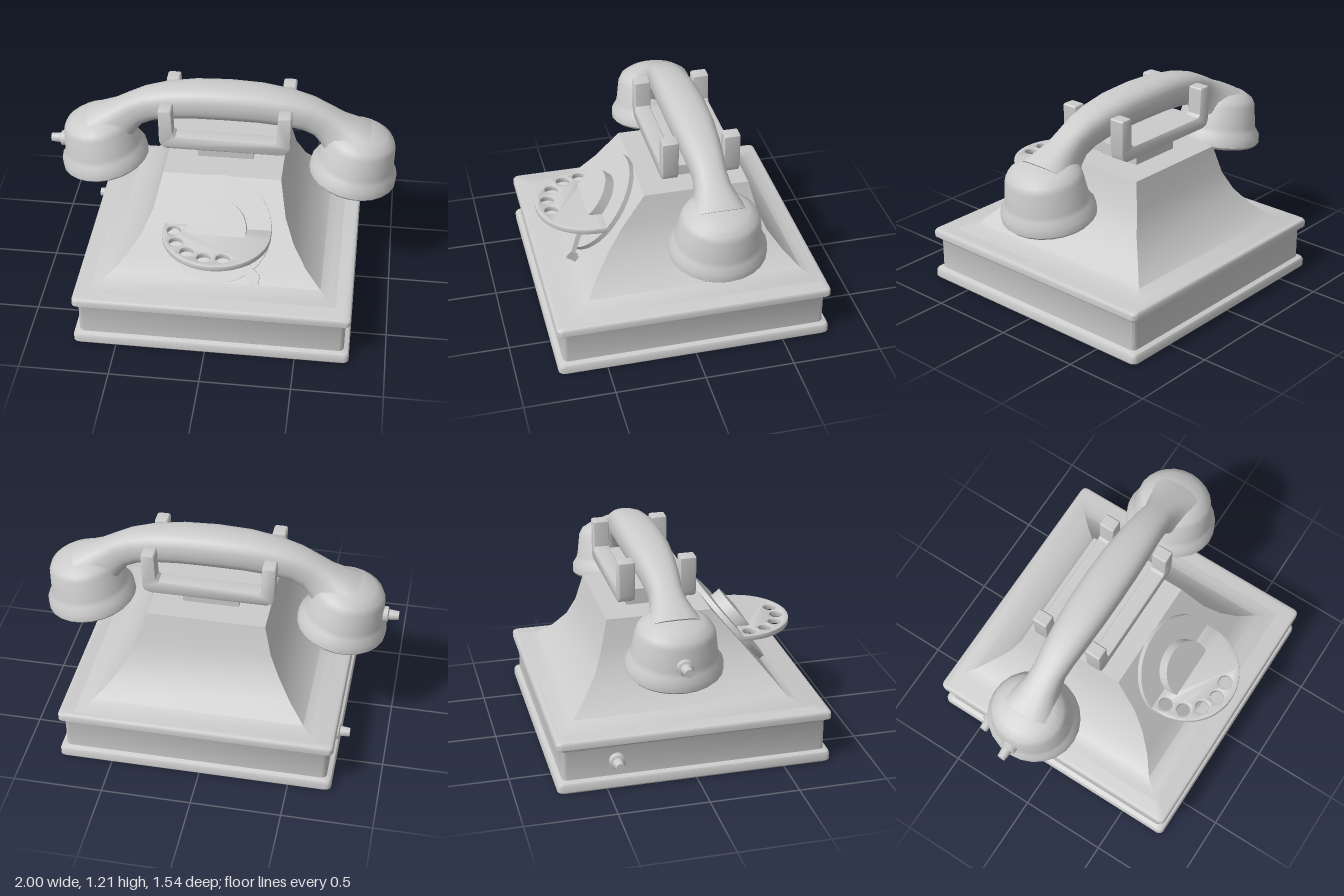
import * as THREE from 'three';
import { toCreasedNormals } from 'three/addons/utils/BufferGeometryUtils.js';

const grey = new THREE.MeshStandardMaterial({ color: 0xcccccc });
const CX = 0.03; // the body is slightly off centre because of the cord plugs
const HZ = -0.12; // handset and cradle centre line

function part(name, geometry, parent, crease = 0.65) {
  const mesh = new THREE.Mesh(crease ? toCreasedNormals(geometry, crease) : geometry, grey);
  mesh.name = name;
  parent.add(mesh);
  return mesh;
}

// Skin a stack of equal-length point rings and cap both ends.
function loft(rings) {
  const n = rings[0].length;
  const index = [];
  for (let i = 0; i < rings.length - 1; i++) {
    for (let j = 0; j < n; j++) {
      const a = i * n + j, b = i * n + (j + 1) % n;
      index.push(a, b, b + n, a, b + n, a + n);
    }
  }
  const top = (rings.length - 1) * n;
  for (let j = 1; j < n - 1; j++) {
    index.push(0, j + 1, j, top, top + j, top + j + 1);
  }
  const geometry = new THREE.BufferGeometry();
  geometry.setAttribute('position', new THREE.Float32BufferAttribute(rings.flat(2), 3));
  geometry.setIndex(index);
  return geometry;
}

// Horizontal square ring with small rounded corners.
function squareRing(y, half, r) {
  const ring = [];
  for (let c = 0; c < 4; c++) {
    const mid = Math.PI / 4 + c * Math.PI / 2;
    const sx = Math.sign(Math.cos(mid)), sz = -Math.sign(Math.sin(mid));
    for (let k = 0; k <= 3; k++) {
      const a = c * Math.PI / 2 + k * Math.PI / 6;
      ring.push([sx * (half - r) + r * Math.cos(a), y, sz * (half - r) - r * Math.sin(a)]);
    }
  }
  return ring;
}

function polygon(points) {
  return new THREE.Shape(points.map(([x, y]) => new THREE.Vector2(x, y)));
}

function lathe(points, segments = 24) {
  return new THREE.LatheGeometry(points.map(([x, y]) => new THREE.Vector2(x, y)), segments);
}

function createBody(group) {
  // Plinth with a lip at the bottom and the top
  const profile = [[0, 0.762], [0.01, 0.77], [0.045, 0.77], [0.058, 0.764], [0.068, 0.74],
    [0.235, 0.74], [0.25, 0.747], [0.265, 0.77], [0.295, 0.77], [0.305, 0.764], [0.31, 0.75]];
  part('plinth', loft(profile.map(([y, h]) => squareRing(y, h, 0.03))), group).position.x = CX;

  // Flared housing: straight front slope, curved sides and back
  const levels = [[0.305, 0.70, 0.68, -0.75], [0.32, 0.645, 0.63, -0.70], [0.345, 0.59, 0.565, -0.645],
    [0.43, 0.50, 0.495, -0.56], [0.53, 0.425, 0.413, -0.485], [0.64, 0.37, 0.322, -0.44], [0.8, 0.33, 0.19, -0.40]];
  const rings = levels.map(([y, x, f, b]) => [[x, y, f], [x, y, b], [-x, y, b], [-x, y, f]]);
  part('housing', loft(rings), group, 0.7).position.x = CX;
}

function createCradle(group) {
  const cradle = new THREE.Group();
  cradle.name = 'cradle';
  cradle.position.set(CX, 0, HZ);
  group.add(cradle);

  part('cradleNeck', new THREE.BoxGeometry(0.315, 0.13, 0.26), cradle).position.y = 0.855;
  part('cradleFloor', new THREE.BoxGeometry(0.64, 0.06, 0.3), cradle).position.y = 0.93;

  // Front and back forks
  const half = [[0.325, 0.895], [0.355, 0.91], [0.367, 0.94], [0.37, 1.13],
    [0.362, 1.138], [0.302, 1.138], [0.295, 1.13], [0.29, 0.985], [0.275, 0.97]];
  const fork = polygon([...half, ...half.map(([x, y]) => [-x, y]).reverse()]);
  for (const side of [1, -1]) {
    const geometry = new THREE.ExtrudeGeometry(fork, {
      depth: 0.07, bevelThickness: 0.01, bevelSize: 0.006, bevelOffset: -0.006, bevelSegments: 2,
    });
    geometry.translate(0, 0, -0.035);
    part(side > 0 ? 'frontFork' : 'backFork', geometry, cradle).position.z = side * 0.171;
  }
}

function createHandset(group) {
  const handset = new THREE.Group();
  handset.name = 'handset';
  handset.position.set(CX, 0, HZ);
  group.add(handset);

  // Arched grip, stations: x, y, half height, half depth
  const half = [[0, 1.105, 0.102, 0.12], [0.18, 1.1, 0.1, 0.117], [0.34, 1.08, 0.096, 0.107],
    [0.45, 1.052, 0.092, 0.097], [0.53, 1.013, 0.092, 0.09], [0.59, 0.967, 0.104, 0.098],
    [0.645, 0.92, 0.13, 0.125], [0.69, 0.87, 0.16, 0.165]];
  const stations = [...half.slice(1).reverse().map(([x, ...rest]) => [-x, ...rest]), ...half];
  const bend = (v) => Math.sign(v) * Math.abs(v) ** 0.75;
  const rings = stations.map(([x, y, h, d], i) => {
    const p = stations[Math.max(i - 1, 0)], q = stations[Math.min(i + 1, stations.length - 1)];
    const t = new THREE.Vector2(q[0] - p[0], q[1] - p[1]).normalize();
    return Array.from({ length: 24 }, (_, k) => {
      const a = k / 24 * Math.PI * 2;
      const up = h * bend(Math.cos(a));
      return [x - t.y * up, y + t.x * up, d * bend(Math.sin(a))];
    });
  });
  part('grip', loft(rings), handset, 1.0);

  // Earpiece and mouthpiece cups, tilted outward
  const cup = [[0, 0], [0.25, 0], [0.264, 0.015], [0.262, 0.06], [0.24, 0.09], [0.23, 0.12],
    [0.213, 0.24], [0.195, 0.272], [0.15, 0.3], [0.08, 0.318], [0, 0.323]];
  for (const side of [1, -1]) {
    const mesh = part(side > 0 ? 'earpiece' : 'mouthpiece', lathe(cup), handset, 0.75);
    mesh.position.set(side * 0.713, 0.653, 0);
    mesh.rotation.z = -side * 0.15;
    mesh.scale.x = 0.95;
  }
}

function createDial(group) {
  const dial = new THREE.Group();
  dial.name = 'dial';
  dial.position.set(CX, 0.5725, 0.3775);
  dial.rotation.x = -0.69;
  group.add(dial);

  const disc = (r, depth) => new THREE.CylinderGeometry(r, r, depth, 40).rotateX(Math.PI / 2);
  part('dialPlate', disc(0.3, 0.05), dial).position.z = 0.005;
  part('dialHub', disc(0.163, 0.09), dial).position.z = 0.045;

  // Hooked finger stop and its foot
  const hook = polygon([[0.15, -0.1], [0.155, -0.175], [0.18, -0.25], [0.21, -0.3],
    [0.25, -0.29], [0.255, -0.24], [0.185, -0.175]]);
  part('fingerStop', new THREE.ExtrudeGeometry(hook, { depth: 0.03, bevelEnabled: false }), dial)
    .position.z = 0.05;
  part('fingerStopFoot', new THREE.BoxGeometry(0.04, 0.035, 0.06), dial).position.set(0.222, -0.275, 0.04);

  // Horizontal half wheel with finger holes
  const wheel = new THREE.Shape();
  wheel.moveTo(-0.3, 0);
  wheel.lineTo(0.3, 0);
  wheel.lineTo(0.3, -0.06);
  wheel.absellipse(0, -0.06, 0.3, 0.3, 0, -Math.PI, true);
  for (const [x, z] of [[-0.235, 0.065], [-0.21, 0.165], [-0.14, 0.245], [-0.043, 0.285], [0.06, 0.28]]) {
    wheel.holes.push(new THREE.Path().absarc(x, -z, 0.038, 0, Math.PI * 2));
  }
  const geometry = new THREE.ExtrudeGeometry(wheel, {
    depth: 0.018, bevelThickness: 0.008, bevelSize: 0.006, bevelOffset: -0.006, bevelSegments: 2, curveSegments: 24,
  });
  geometry.rotateX(-Math.PI / 2);
  part('fingerWheel', geometry, group).position.set(CX, 0.573, 0.383);
}

// Stepped cord plugs pointing to the right side
function createPlugs(group) {
  const profile = [[0, -0.05], [0.048, -0.05], [0.044, 0.035], [0.03, 0.04], [0.024, 0.095], [0, 0.095]];
  for (const [name, x, y, z] of [['handsetPlug', -0.905, 0.77, HZ], ['basePlug', -0.705, 0.157, -0.44]]) {
    const mesh = part(name, lathe(profile, 16), group);
    mesh.rotation.z = Math.PI / 2;
    mesh.position.set(x, y, z);
  }
}

export function createModel() {
  const group = new THREE.Group();
  group.name = 'telephone';
  createBody(group);
  createCradle(group);
  createHandset(group);
  createDial(group);
  createPlugs(group);
  return group;
}
